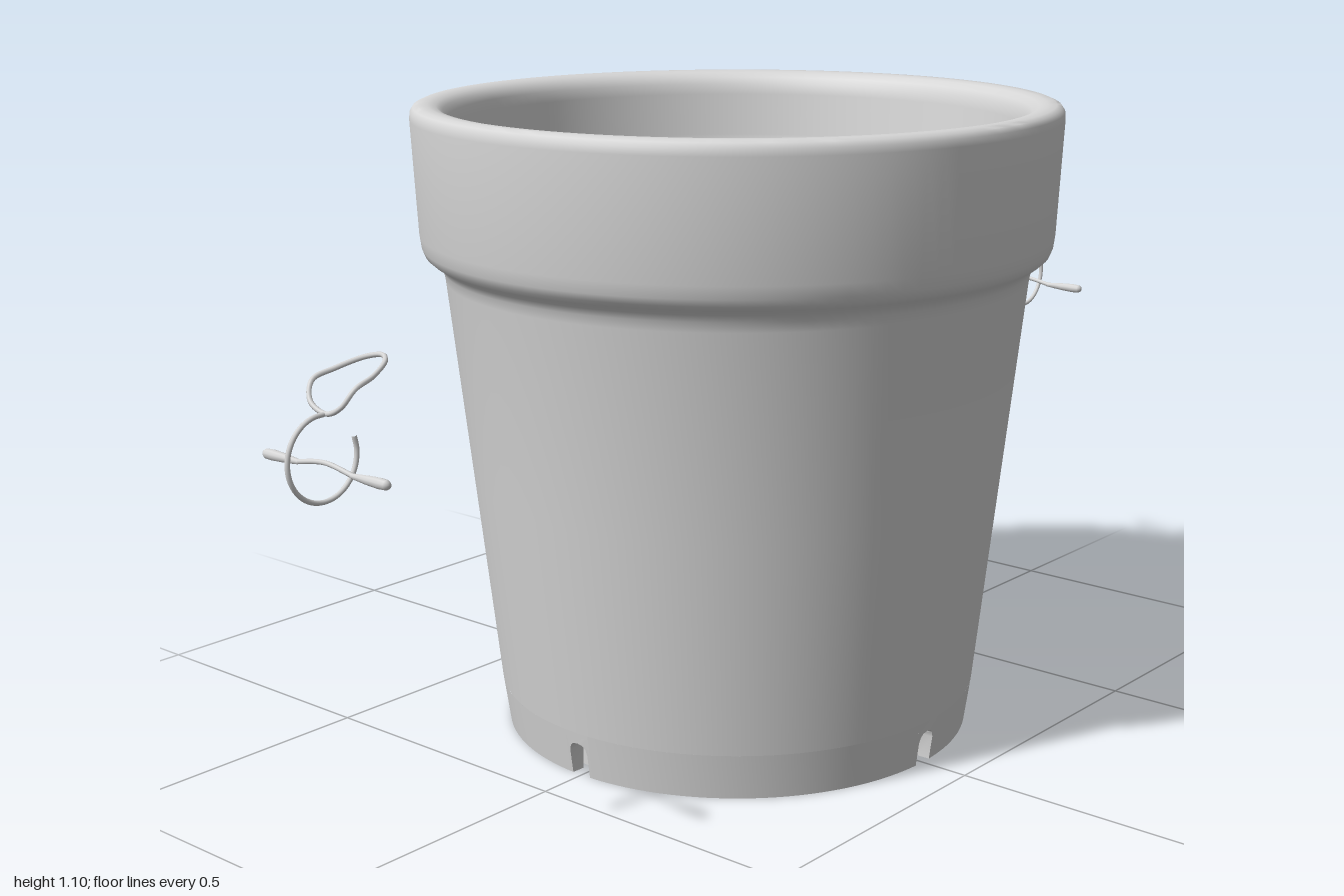
import * as THREE from 'three';
import { toCreasedNormals } from 'three/addons/utils/BufferGeometryUtils.js';

const V2 = (list) => list.map(([x, y]) => new THREE.Vector2(x, y));
const V3 = (list) => list.map((p) => new THREE.Vector3(...p));

export function createModel() {
  const model = new THREE.Group();
  const grey = new THREE.MeshStandardMaterial({ color: 0xd6d6d6 });
  grey.name = 'grey';

  const add = (parent, name, geometry) => {
    const mesh = new THREE.Mesh(geometry, grey);
    mesh.name = name;
    parent.add(mesh);
    return mesh;
  };

  // Pot body: underside, outer wall, rim, inner step and floor in one profile
  const body = V2([
    [0, 0.018], [0.2, 0.02], [0.33, 0.022], [0.36, 0.019], [0.378, 0.014], [0.389, 0.008],
    [0.389, 0.08], [0.4245, 0.08],
    [0.465, 0.45], [0.504, 0.805], [0.507, 0.822], [0.514, 0.834],
    [0.529, 0.844], [0.538, 0.852], [0.543, 0.864], [0.546, 0.885],
    [0.556, 1.08], [0.555, 1.092], [0.55, 1.1], [0.541, 1.104],
    [0.525, 1.104], [0.511, 1.101], [0.5, 1.093], [0.493, 1.081], [0.489, 1.062],
    [0.485, 0.985], [0.481, 0.966], [0.473, 0.952], [0.46, 0.941],
    [0.449, 0.93], [0.443, 0.915], [0.44, 0.89],
    [0.378, 0.1], [0.371, 0.075], [0.36, 0.06], [0.34, 0.054], [0.2, 0.052], [0, 0.05],
  ]);
  add(model, 'potBody', toCreasedNormals(new THREE.LatheGeometry(body, 112), 0.7));

  // Foot ring: four plain arcs with a notched block between each pair
  const foot = new THREE.Group();
  foot.name = 'footRing';
  model.add(foot);
  const half = 0.06;
  const arcProfile = V2([[0.389, 0.02], [0.389, 0], [0.413, 0], [0.4245, 0.08]]);
  const block = new THREE.Shape(V2([
    [-half, 0], [-0.047, 0], [-0.047, 0.042], [-0.04, 0.052], [-0.025, 0.058], [0, 0.06],
    [0.025, 0.058], [0.04, 0.052], [0.047, 0.042], [0.047, 0], [half, 0], [half, 0.08],
    [-half, 0.08],
  ]));
  // Bend the flat block round the pot: x becomes the angle, z the radius
  const blockGeometry = new THREE.ExtrudeGeometry(block, { depth: 1, bevelEnabled: false });
  const pos = blockGeometry.attributes.position;
  for (let i = 0; i < pos.count; i++) {
    const angle = pos.getX(i), y = pos.getY(i);
    const r = THREE.MathUtils.lerp(0.389, 0.413 + 0.144 * y, pos.getZ(i));
    pos.setXYZ(i, r * Math.sin(angle), y, r * Math.cos(angle));
  }
  const notchGeometry = toCreasedNormals(blockGeometry, 0.5);
  for (let i = 0; i < 4; i++) {
    const turn = i * Math.PI / 2;
    add(foot, 'footNotch', notchGeometry).rotation.y = turn;
    add(foot, 'footArc', toCreasedNormals(
      new THREE.LatheGeometry(arcProfile, 28, turn + half, Math.PI / 2 - 2 * half), 0.7));
  }

  // Wire hanger on each side: eye, open hook and cross bar with thicker ends
  const wire = (points, closed, radius = 0.004) => new THREE.TubeGeometry(
    new THREE.CatmullRomCurve3(V3(points), closed), 64, radius, 8, closed);

  const hookPoints = [];
  for (let i = 0; i <= 16; i++) {
    const a = THREE.MathUtils.degToRad(160 + 295 * i / 16);
    hookPoints.push([0.934 + 0.064 * Math.cos(a), 0.667 + 0.065 * Math.sin(a), 0]);
  }
  const barPoints = [
    [0.93, 0.652, -0.13], [0.93, 0.649, -0.08], [0.93, 0.66, 0], [0.93, 0.649, 0.08], [0.93, 0.652, 0.13],
  ];
  const gripProfile = V2([
    [0, 0], [0.005, 0.001], [0.0078, 0.006], [0.0085, 0.02], [0.0072, 0.045], [0.004, 0.08],
  ]);

  for (const side of [1, -1]) {
    const hanger = new THREE.Group();
    hanger.name = side > 0 ? 'leftHanger' : 'rightHanger';
    if (side < 0) hanger.rotation.y = Math.PI;
    model.add(hanger);
    // The right eye droops a little more than the left
    const tip = side > 0 ? 0.813 : 0.8;
    const eyeHalf = [
      [0.924, 0.746, 0.034], [0.908, 0.772, 0.047], [0.87, tip - 0.017, 0.042], [0.828, tip - 0.004, 0.022],
    ];
    const eyePoints = [
      [0.925, 0.732, 0], ...eyeHalf, [0.815, tip, 0],
      ...eyeHalf.map(([x, y, z]) => [x, y, -z]).reverse(),
    ];
    add(hanger, 'hangerHook', wire(hookPoints, false));
    add(hanger, 'hangerEye', wire(eyePoints, true));
    add(hanger, 'hangerBar', wire(barPoints, false));
    for (const end of [1, -1]) {
      const grip = add(hanger, 'barEnd', new THREE.LatheGeometry(gripProfile, 10));
      grip.rotation.x = -end * Math.PI / 2;
      grip.position.set(0.93, 0.651, end * 0.138);
    }
  }
  return model;
}
